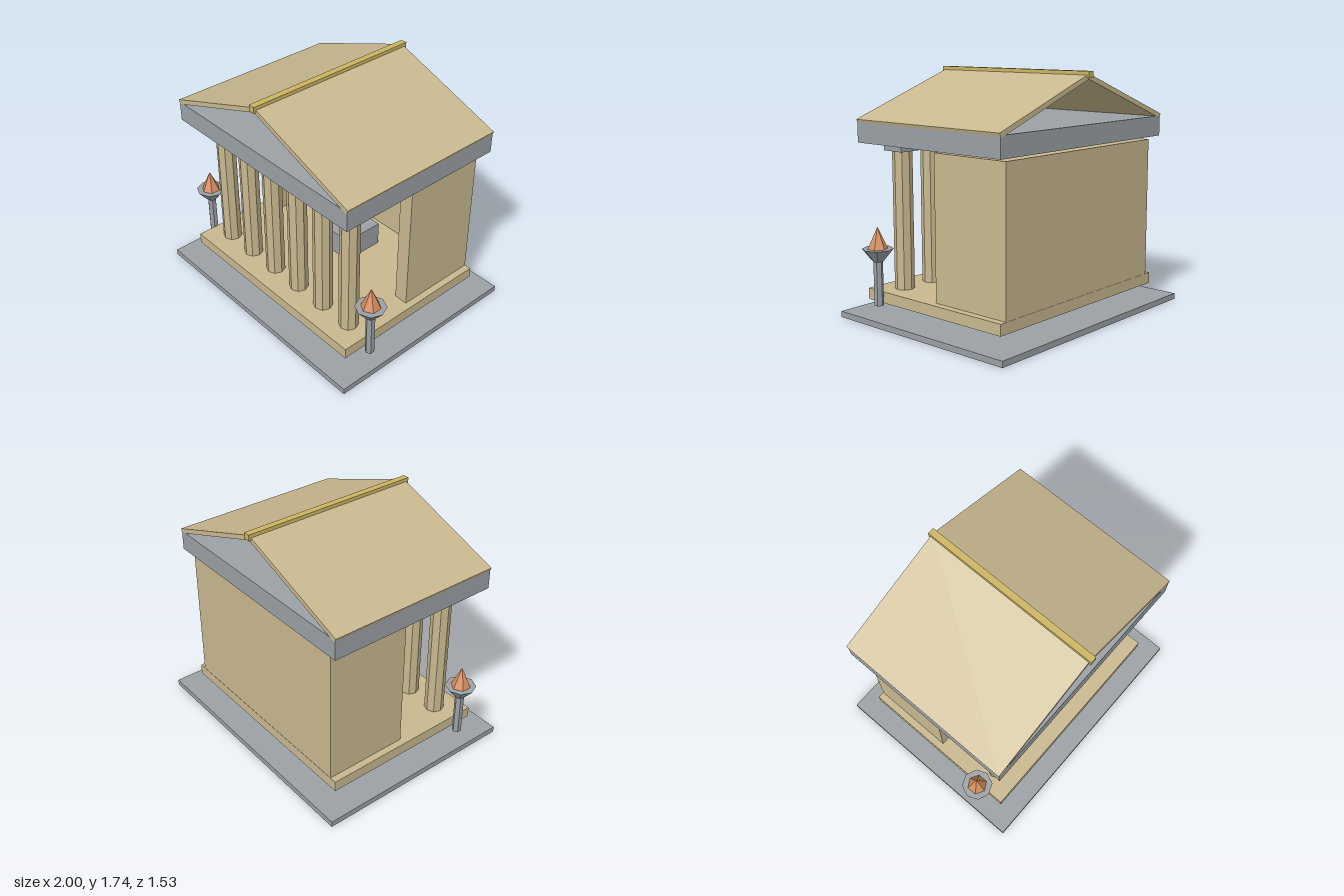
import * as THREE from 'three';

const material = (name, color) => {
  const m = new THREE.MeshStandardMaterial({ color, flatShading: true });
  m.name = name;
  return m;
};

export function createModel() {
  const sand = material('sandstone', 0xc8b88f);
  const stone = material('grey stone', 0x9aa0a5);
  const gold = material('gold', 0xcbb562);
  const fire = material('flame orange', 0xd8905f);
  const temple = new THREE.Group();
  temple.name = 'temple';

  const add = (name, geometry, mat, x, y, z, parent = temple) => {
    const mesh = new THREE.Mesh(geometry, mat);
    mesh.name = name;
    mesh.position.set(x, y, z);
    parent.add(mesh);
    return mesh;
  };
  // Box given by its lower and upper corners
  const block = (name, mat, [x0, y0, z0], [x1, y1, z1]) =>
    add(name, new THREE.BoxGeometry(x1 - x0, y1 - y0, z1 - z0), mat,
      (x0 + x1) / 2, (y0 + y1) / 2, (z0 + z1) / 2);
  // Upright faceted cylinder or cone between two heights
  const post = (name, mat, rTop, rBottom, y0, y1, sides, x, z, parent) =>
    add(name, new THREE.CylinderGeometry(rTop, rBottom, y1 - y0, sides), mat,
      x, (y0 + y1) / 2, z, parent);

  // Ground slab and raised floor
  block('groundSlab', stone, [-0.975, 0, -0.767], [0.975, 0.043, 0.767]);
  block('podium', sand, [-0.835, 0.13, -0.627], [0.835, 0.21, 0.627]);

  // Chamber, open at the front
  block('backWall', sand, [-0.783, 0.21, -0.625], [0.783, 1.222, -0.52]);
  for (const s of [-1, 1]) {
    const x = s * 0.731;
    block('sideWall', sand, [x - 0.052, 0.21, -0.625], [x + 0.052, 1.222, 0]);
  }

  // Row of columns with square capitals
  for (let i = 0; i < 6; i++) {
    const x = (i - 2.5) * 0.265;
    post('column', sand, 0.07, 0.07, 0.21, 1.19, 8, x, 0.44);
    block('capital', stone, [x - 0.088, 1.19, 0.352], [x + 0.088, 1.245, 0.528]);
  }

  // Entablature, two sloping roof slabs and the ridge beam
  block('entablature', stone, [-0.87, 1.245, -0.66], [0.87, 1.39, 0.66]);
  const pitch = 0.349;
  const slabLength = 0.934, slabThick = 0.034;
  for (const s of [-1, 1]) {
    const slab = add('roofSlab', new THREE.BoxGeometry(slabLength, slabThick, 1.322), sand,
      s * (slabLength / 2 * Math.cos(pitch) - slabThick / 2 * Math.sin(pitch)),
      1.725 - slabLength / 2 * Math.sin(pitch) - slabThick / 2 * Math.cos(pitch), 0);
    slab.rotation.z = -s * pitch;
  }
  block('ridgeBeam', gold, [-0.024, 1.697, -0.678], [0.024, 1.742, 0.678]);

  // Altar with a faceted gold vessel and flame
  const altarZ = -0.17;
  block('altar', stone, [-0.16, 0.21, altarZ - 0.16], [0.16, 0.39, altarZ + 0.16]);
  const gem = new THREE.IcosahedronGeometry(1, 0);
  gem.rotateX(-Math.atan((1 + Math.sqrt(5)) / 2));
  gem.scale(0.08, 0.18, 0.08);
  add('altarVessel', gem, gold, 0, 0.52, altarZ);
  post('altarFlame', fire, 0, 0.064, 0.615, 0.8, 6, 0, altarZ);

  // Pair of torches
  for (const s of [-1, 1]) {
    const torch = new THREE.Group();
    torch.name = 'torch';
    torch.position.set(s * 0.89, 0, 0.455);
    post('torchPole', stone, 0.033, 0.033, 0.13, 0.445, 6, 0, 0, torch);
    post('torchBowl', stone, 0.109, 0.036, 0.442, 0.532, 8, 0, 0, torch);
    post('torchFlame', fire, 0, 0.07, 0.532, 0.684, 6, 0, 0, torch);
    temple.add(torch);
  }

  return temple;
}
